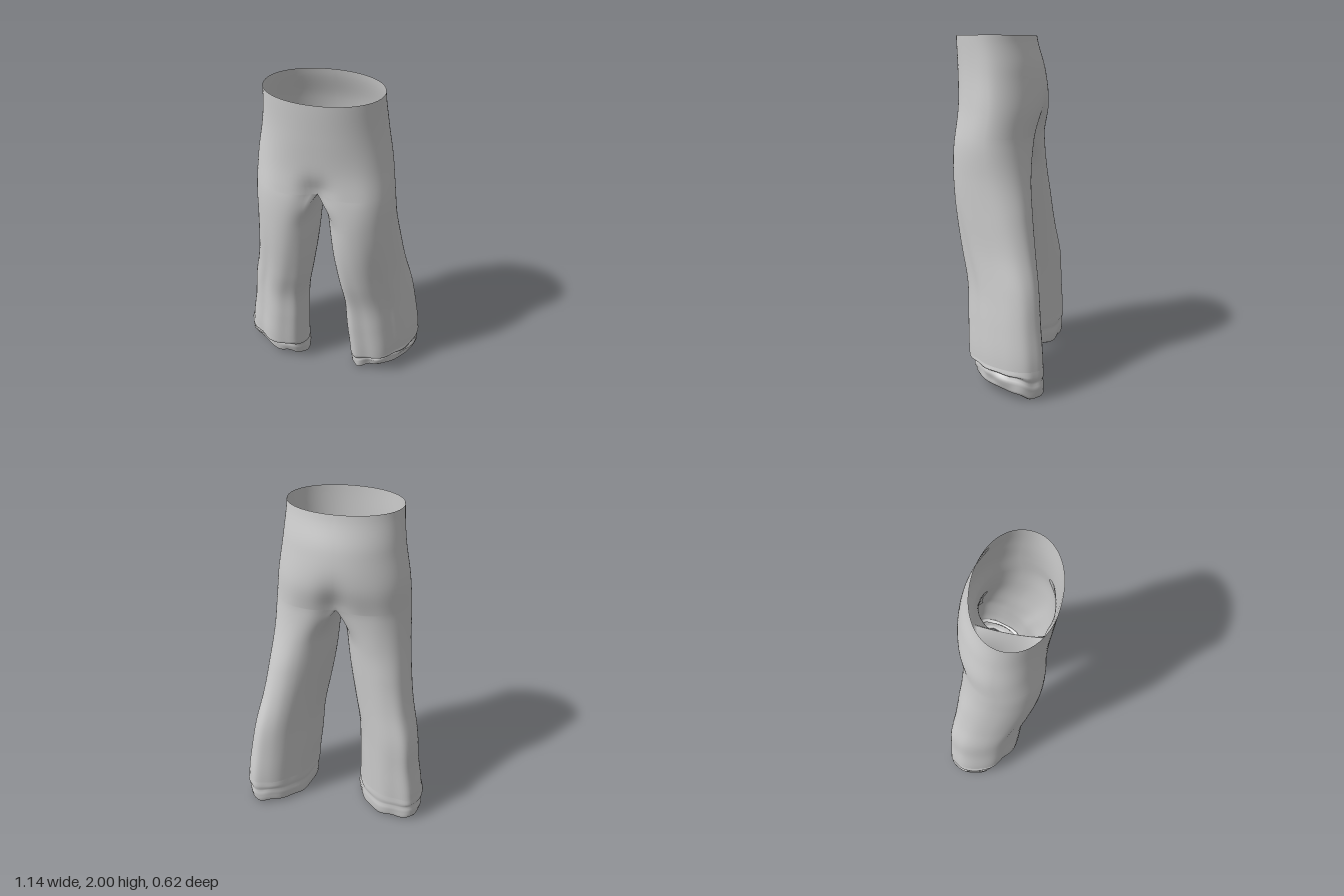
import * as THREE from 'three';
import { mergeVertices } from 'three/addons/utils/BufferGeometryUtils.js';

// Profiles are sampled every 0.2 in height, from floor to waist
const MID = -0.012, CROTCH = 1.44, HEM = 0.18;
const FRONT = [0.17, 0.19, 0.2, 0.21, 0.25, 0.28, 0.298, 0.305, 0.295, 0.305, 0.315];
const LEGS = [
  { name: 'left', side: 1, twist: 0.52, front: FRONT,
    out: [0.555, 0.56, 0.535, 0.5, 0.455, 0.425, 0.4, 0.385, 0.36, 0.33, 0.31],
    inn: [0.165, 0.155, 0.135, 0.12, 0.085, 0.05, 0.025, 0.008, MID, MID, MID],
    back: [-0.295, -0.295, -0.275, -0.255, -0.22, -0.19, -0.17, -0.175, -0.212, -0.19, -0.135] },
  { name: 'right', side: -1, twist: 0.36, front: FRONT,
    out: [-0.57, -0.565, -0.535, -0.515, -0.47, -0.44, -0.42, -0.41, -0.395, -0.36, -0.34],
    inn: [-0.14, -0.14, -0.135, -0.125, -0.09, -0.06, -0.04, -0.03, MID, MID, MID],
    back: [-0.235, -0.24, -0.235, -0.23, -0.205, -0.185, -0.17, -0.175, -0.212, -0.19, -0.135] },
];
const M = 56, K = 28, RING = M + K;      // outer arc, inner arc, whole ring
const ARC = THREE.MathUtils.degToRad(130);

const mix = THREE.MathUtils.lerp;
const smooth = THREE.MathUtils.smoothstep;
const bell = (v, c, w) => Math.exp(-(((v - c) / w) ** 2));
const power = (v, e) => Math.sign(v) * Math.abs(v) ** e;

// Smooth interpolation of a profile at height y
function at(list, y) {
  const k = THREE.MathUtils.clamp(y / 0.2, 0, list.length - 1.0001);
  const i = Math.floor(k), f = k - i, last = list.length - 1;
  const p1 = list[i], p2 = list[i + 1];
  const m1 = (p2 - list[Math.max(i - 1, 0)]) / 2, m2 = (list[Math.min(i + 2, last)] - p1) / 2;
  const f2 = f * f, f3 = f2 * f;
  return (2 * f3 - 3 * f2 + 1) * p1 + (f3 - 2 * f2 + f) * m1 + (3 * f2 - 2 * f3) * p2 + (f3 - f2) * m2;
}

// Half of the hip section: i runs front centre, outer side, back centre, then along the crotch line
function hipPoint(leg, i, y) {
  const zf = at(leg.front, y), zb = at(leg.back, y);
  const cz = (zf + zb) / 2, b = (zf - zb) / 2, a = Math.abs(at(leg.out, y) - MID);
  const dent = 0.05 * bell(y, 1.44, 0.1), cleft = 0.045 * bell(y, 1.45, 0.16);
  const f = zf - dent, k = zb + cleft;
  if (i > M) return [MID, mix(k, f, (i - M) / K)];
  // fuller at the front of the thighs, leaner behind
  const t = Math.PI * (0.5 - i / M), lower = 1 - smooth(y, 1.55, 1.95);
  const e = mix(0.96, t > 0 ? 0.86 : 1.08, lower);
  const c = Math.max(0, Math.cos(t)) ** e, s = power(Math.sin(t), e);
  const x = a * c, near = bell(x, 0, 0.085);
  const z = cz + b * s + (s > 0 ? -dent : cleft) * near * Math.abs(s);
  return [MID + leg.side * x, i === 0 ? f : i === M ? k : z];
}

const ringAngle = (i) => i <= M ? mix(ARC, -ARC, i / M) : mix(-ARC, ARC - 2 * Math.PI, (i - M) / K);

// Leg section: a slanted oval with soft lengthwise folds
function legPoint(leg, i, y, grow = 0) {
  const t = ringAngle(i), phi = leg.twist * (1 - smooth(y, 0.5, 1.55));
  const xo = at(leg.out, y), xi = at(leg.inn, y), zf = at(leg.front, y), zb = at(leg.back, y);
  const loose = 1 - smooth(y, 0.1, 1.5);
  const folds = loose * (0.025 * Math.sin(5 * t + 0.8 * leg.side + 0.8 * y) + 0.02 * Math.sin(8 * t + 2 - y))
    - 0.05 * bell(t, 1.15, 0.16) * bell(y, 0.6, 0.6) * loose;
  const side = Math.abs(Math.cos(t)) ** 4;
  const k = 1 + folds * (1 - side) + grow / 0.21;
  return [
    (xo + xi) / 2 + leg.side * Math.abs(xo - xi) / 2 * power(Math.cos(t), 0.95) * k,
    (zf + zb) / 2 + (zf - zb) / 2 * power(Math.sin(t - phi), 0.95) * k,
  ];
}

// Hip section easing into a leg section: slowly on the outside, quickly at the crotch
function clothPoint(leg, i, y) {
  const h = hipPoint(leg, i, y), l = legPoint(leg, i, y);
  const inner = y >= CROTCH ? 0 : 1 - Math.max(0, 1 - (CROTCH - y) / 0.24) ** 2;
  const outer = 1 - smooth(y, 1, 1.8);
  const s = mix(inner, outer, i > M ? 0 : smooth(Math.min(i, M - i) / M, 0, 0.25));
  const sag = i > M ? 0.03 * Math.sin(Math.PI * (i - M) / K) * (1 - s) : 0;
  return [mix(h[0], l[0], s), y - sag, mix(h[1], l[1], s)];
}

// Cuff profile: outward offset and height, turning in at the bottom
const CUFF = [[0, 0.18], [0.004, 0.165], [0.008, 0.15], [0.009, 0.135], [-0.008, 0.122], [-0.014, 0.108],
  [0.004, 0.092], [0.008, 0.072], [-0.002, 0.052], [0, 0.034], [-0.006, 0.018], [-0.018, 0.012], [-0.028, 0.04]];

// The cuff is gathered and lifted at the outer front, and hangs smooth elsewhere
function cuffPoint(leg, i, row) {
  const [off, h] = CUFF[row], t = ringAngle(i), w = smooth(row, 0, 6);
  const gather = Math.max(0, Math.cos(t - 1)) ** 1.5;
  const ripple = Math.sin(5 * t + row * 0.7 + leg.side) + 0.6 * Math.sin(11 * t - row * 0.5);
  const tuck = row > 9 ? off : off * (0.25 + 0.9 * gather);
  const [x, z] = legPoint(leg, i, h, tuck + w * ripple * (0.0015 + 0.005 * gather));
  const wave = 0.005 * (Math.sin(4 * t + leg.side) + 0.7 * Math.sin(9 * t + 2));
  const front = Math.max(0, Math.sin(t - leg.twist));
  return [x, Math.max(0, h + w * (0.05 * gather + wave)), z - 0.04 * w * front];
}

// Joins rows of points, filling columns(row) quads per row and wrapping at the full ring
function addGrid(pos, idx, rows, columns, point, side) {
  const base = pos.length / 3;
  for (let r = 0; r < rows; r++) for (let i = 0; i < RING; i++) pos.push(...point(i, r));
  for (let r = 0; r + 1 < rows; r++) for (let i = 0; i < columns(r); i++) {
    const j = (i + 1) % RING;
    const a = base + r * RING + i, b = base + r * RING + j, c = a + RING, d = b + RING;
    if (side > 0) idx.push(a, c, b, b, c, d);
    else idx.push(a, b, c, b, d, c);
  }
}

function finish(pos, idx, name) {
  let geo = new THREE.BufferGeometry();
  geo.setAttribute('position', new THREE.Float32BufferAttribute(pos, 3));
  geo.setIndex(idx);
  geo = mergeVertices(geo, 1e-5);
  geo.computeVertexNormals();
  const mesh = new THREE.Mesh(geo, new THREE.MeshStandardMaterial({ color: 0xcccccc, side: THREE.DoubleSide }));
  mesh.name = name;
  return mesh;
}

export function createModel() {
  const group = new THREE.Group();
  group.name = 'trousers';

  // Hips and both legs, welded along the centre line; rows gather towards the crotch
  const hipRows = 20, legRows = 54, pos = [], idx = [];
  const height = (r) => r <= hipRows ? mix(2, CROTCH, r / hipRows)
    : mix(CROTCH, HEM, ((r - hipRows) / legRows) ** 1.4);
  for (const leg of LEGS) {
    addGrid(pos, idx, hipRows + legRows + 1, (r) => r < hipRows ? M : RING,
      (i, r) => clothPoint(leg, i, height(r)), leg.side);
  }
  group.add(finish(pos, idx, 'hipsAndLegs'));

  // Cuffs
  for (const leg of LEGS) {
    const p = [], q = [];
    addGrid(p, q, CUFF.length, () => RING, (i, r) => cuffPoint(leg, i, r), leg.side);
    group.add(finish(p, q, leg.name + 'Cuff'));
  }
  return group;
}
